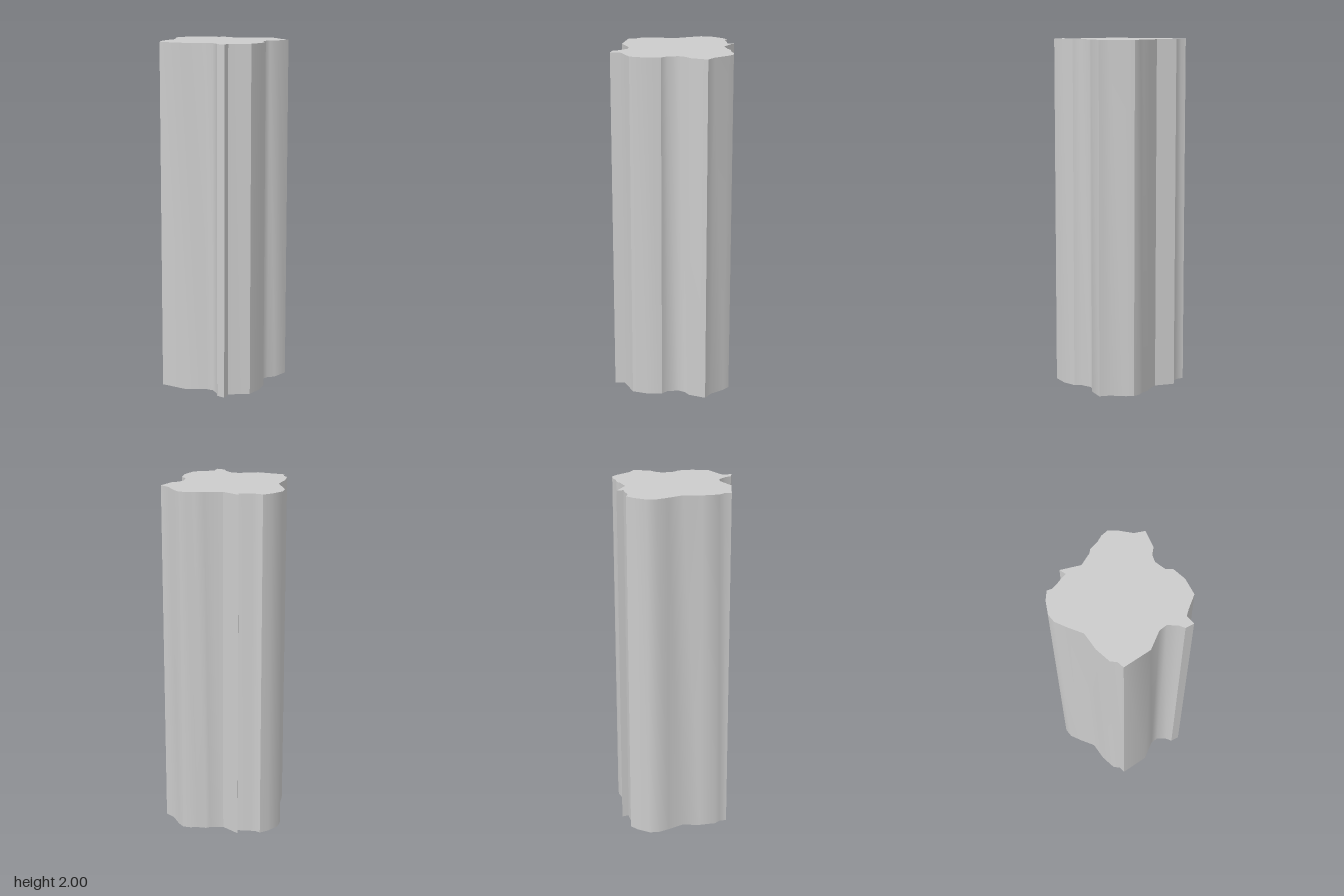
import * as THREE from 'three';
import { toCreasedNormals } from 'three/addons/utils/BufferGeometryUtils.js';

// Irregular plan outline of the column, as [x, z]
const outline = [
  [-0.118, -0.352], [-0.022, -0.288], [0.054, -0.303], [0.076, -0.317], [0.128, -0.316],
  [0.168, -0.326], [0.212, -0.322], [0.244, -0.288], [0.292, -0.212], [0.342, -0.175],
  [0.302, -0.084], [0.264, -0.058], [0.244, -0.022], [0.25, 0.043], [0.277, 0.075],
  [0.277, 0.155], [0.244, 0.246], [0.164, 0.278], [0.128, 0.296], [0.123, 0.35],
  [0.076, 0.334], [0.062, 0.298], [0.024, 0.254], [-0.022, 0.246], [-0.128, 0.284],
  [-0.288, 0.246], [-0.288, 0.205], [-0.311, 0.173], [-0.311, 0.08], [-0.288, -0.022],
  [-0.322, -0.11], [-0.343, -0.177], [-0.335, -0.227], [-0.288, -0.288], [-0.244, -0.322],
  [-0.218, -0.308], [-0.188, -0.308], [-0.147, -0.313], [-0.112, -0.313],
];

export function createModel() {
  const group = new THREE.Group();
  group.name = 'rockColumn';

  // Straight extrusion stood upright; gentle bends shade smoothly, sharp ones stay crisp
  const shape = new THREE.Shape(outline.map(([x, z]) => new THREE.Vector2(x, -z)));
  const extruded = new THREE.ExtrudeGeometry(shape, { depth: 2, bevelEnabled: false });
  extruded.rotateX(-Math.PI / 2);
  const geometry = toCreasedNormals(extruded, THREE.MathUtils.degToRad(40));

  const column = new THREE.Mesh(geometry, new THREE.MeshStandardMaterial({ color: 0xcccccc }));
  column.name = 'columnShaft';
  group.add(column);
  return group;
}
